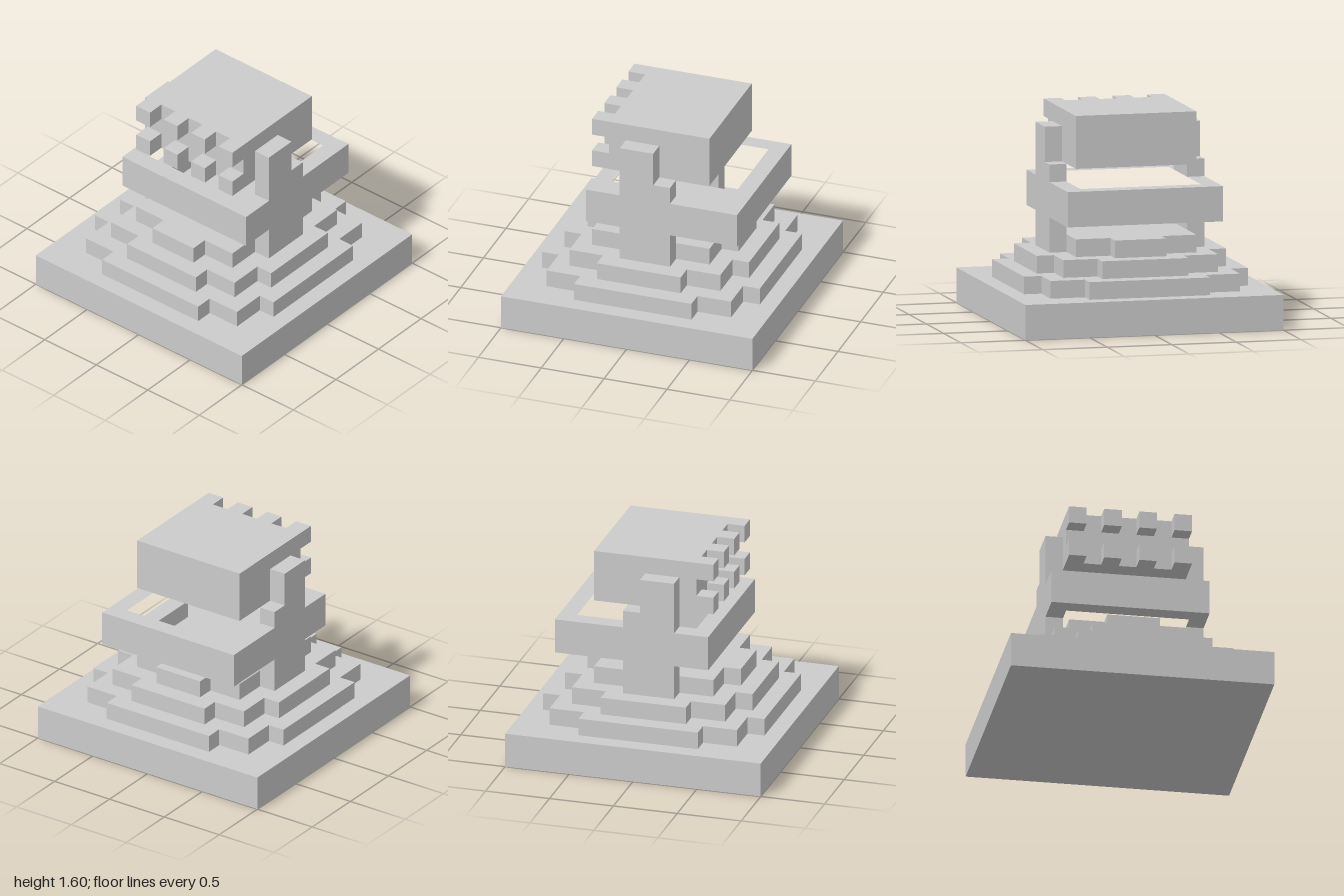
import * as THREE from 'three';

const U = 2 / 15; // size of one block
const material = new THREE.MeshStandardMaterial({ color: 0xcccccc, flatShading: true });

const toShape = (pts) => new THREE.Shape(pts.map(([a, b]) => new THREE.Vector2(a, b)));
const rect = (x0, x1, z0, z1) => [[x0, z0], [x1, z0], [x1, z1], [x0, z1]];

function addMesh(parent, name, geometry) {
  geometry.scale(U, U, U);
  const mesh = new THREE.Mesh(geometry, material);
  mesh.name = name;
  parent.add(mesh);
}

// Upright prism from a plan outline of [x, z] points, in block units
function slab(parent, name, plan, y0, y1, hole) {
  const flip = (pts) => pts.map(([x, z]) => [x, -z]);
  const shape = toShape(flip(plan));
  if (hole) shape.holes.push(toShape(flip(hole)));
  const g = new THREE.ExtrudeGeometry(shape, { depth: y1 - y0, bevelEnabled: false });
  g.rotateX(-Math.PI / 2).translate(0, y0, 0);
  addMesh(parent, name, g);
}

// Square of half-width c with a centred bump of half-width b reaching r on each side
function steppedPlan(b, c, r) {
  const pts = [];
  const side = [[r, -b], [r, b], [c, b], [c, c], [b, c]];
  for (let i = 0; i < 4; i++) {
    for (const [x, z] of side) {
      let p = [x, z];
      for (let k = 0; k < i; k++) p = [-p[1], p[0]];
      pts.push(p);
    }
  }
  return pts;
}

// Head layer with four teeth along its -x edge
function toothedPlan() {
  const pts = [[3.5, -3.5], [3.5, 3.5]];
  for (let z = 3.5; z > -3.5; z -= 2) {
    pts.push([-3.5, z], [-3.5, z - 1]);
    if (z - 1 > -3.5) pts.push([-2.5, z - 1], [-2.5, z - 2]);
  }
  return pts;
}

export function createModel() {
  const model = new THREE.Group();
  model.name = 'blockStatue';

  // Plinth and stepped mound
  slab(model, 'plinth', rect(-7.5, 7.5, -7.5, 7.5), 0, 2);
  slab(model, 'lowerTier', steppedPlan(3.5, 5.5, 6.5), 2, 3);
  slab(model, 'middleTier', steppedPlan(2.5, 4.5, 5.5), 3, 4);
  slab(model, 'upperTier', [
    [3.5, -3.5], [3.5, -1.5], [4.5, -1.5], [4.5, 1.5], [3.5, 1.5], [3.5, 3.5],
    [-3.5, 3.5], [-3.5, 1.5], [-4.5, 1.5], [-4.5, -1.5], [-3.5, -1.5], [-3.5, -3.5],
  ], 4, 5);

  // Open rectangular ring around the middle
  slab(model, 'ring', rect(-3.5, 5.5, -4.5, 4.5), 6, 8, rect(-2.5, 4.5, -3.5, 3.5));

  // Front and back posts: a leg below the ring, a stepped arm above it
  for (const [side, z] of [['front', 3.5], ['back', -4.5]]) {
    slab(model, side + 'Leg', rect(-1.5, 1.5, z, z + 1), 4, 6);
    const arm = toShape([[-1.5, 8], [1.5, 8], [1.5, 9], [0.5, 9], [0.5, 11], [-1.5, 11]]);
    const g = new THREE.ExtrudeGeometry(arm, { depth: 1, bevelEnabled: false });
    addMesh(model, side + 'Arm', g.translate(0, 0, z));
  }

  // Head held between the arms, with an open toothed mouth on -x
  const head = new THREE.Group();
  head.name = 'head';
  slab(head, 'lowerJaw', toothedPlan(), 9, 10);
  slab(head, 'mouthLayer', rect(-2.5, 3.5, -3.5, 3.5), 10, 11);
  slab(head, 'upperJaw', toothedPlan(), 11, 12);
  model.add(head);

  return model;
}
